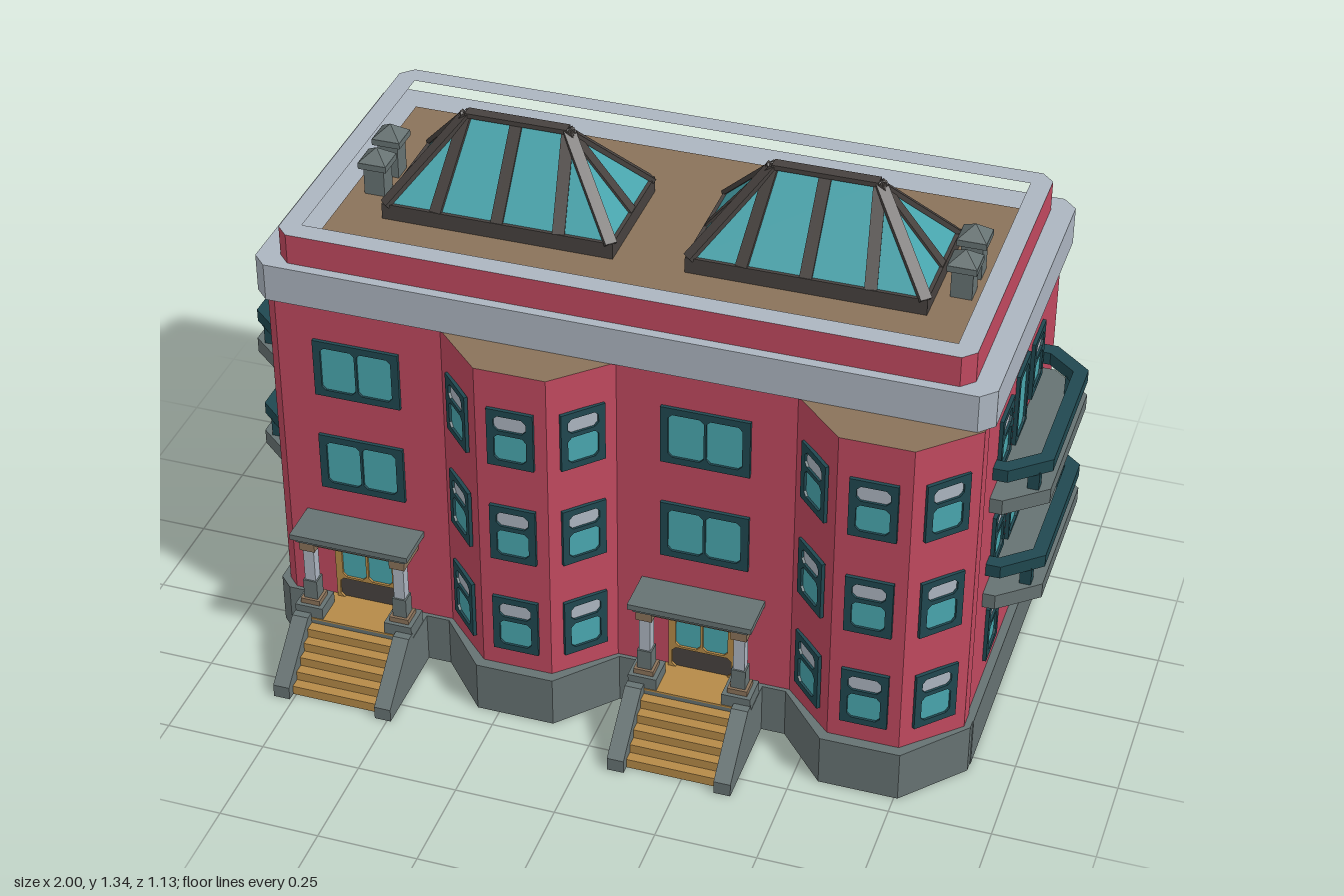
import * as THREE from 'three';

const mat = (name, color) => Object.assign(new THREE.MeshStandardMaterial({ color }), { name });

export function createModel() {
  const brick = mat('brick red', 0xc0495f), stone = mat('stone grey', 0x667272);
  const trim = mat('light trim', 0xacb5c0), glass = mat('teal glass', 0x49a6ae);
  const frame = mat('dark teal frame', 0x204850), roofing = mat('roof brown', 0x8a725a);
  const wood = mat('wood', 0xb58a48), metal = mat('dark metal', 0x47423f);
  glass.side = THREE.DoubleSide;

  const root = new THREE.Group();
  root.name = 'apartmentHouse';

  const group = (parent, name, x = 0, y = 0, z = 0, ry = 0) => {
    const g = new THREE.Group();
    g.name = name;
    g.position.set(x, y, z);
    g.rotation.y = ry;
    parent.add(g);
    return g;
  };
  const mesh = (parent, name, geo, m, x = 0, y = 0, z = 0) => {
    const o = new THREE.Mesh(geo, m);
    o.name = name;
    o.position.set(x, y, z);
    parent.add(o);
    return o;
  };
  // box spanning two corners
  const box = (parent, name, m, x0, x1, y0, y1, z0, z1) =>
    mesh(parent, name, new THREE.BoxGeometry(x1 - x0, y1 - y0, z1 - z0), m,
      (x0 + x1) / 2, (y0 + y1) / 2, (z0 + z1) / 2);
  const outline = (pts) => pts.map(([x, y]) => new THREE.Vector2(x, y));
  // upright prism over an [x, z] plan; material may be [caps, sides]
  const prism = (parent, name, m, pts, y0, y1, hole) => {
    const flip = (p) => outline(p.map(([x, z]) => [x, -z]));
    const s = new THREE.Shape(flip(pts));
    if (hole) s.holes.push(new THREE.Path(flip(hole)));
    const geo = new THREE.ExtrudeGeometry(s, { depth: y1 - y0, bevelEnabled: false });
    return mesh(parent, name, geo.rotateX(-Math.PI / 2), m, 0, y0, 0);
  };
  // rectangle with cut corners
  const cut = (x0, x1, y0, y1, c) => [[x0 + c, y0], [x1 - c, y0], [x1, y0 + c], [x1, y1 - c],
    [x1 - c, y1], [x0 + c, y1], [x0, y1 - c], [x0, y0 + c]];

  // main block, plinth, cornice, parapet and roof
  prism(root, 'plinth', stone, cut(-0.895, 0.895, -0.565, 0.31, 0.035), 0, 0.135);
  prism(root, 'walls', brick, cut(-0.874, 0.874, -0.54, 0.3, 0.03), 0.135, 1.0);
  prism(root, 'cornice', trim, cut(-0.896, 0.896, -0.565, 0.31, 0.035), 1.0, 1.097);
  prism(root, 'parapet', [trim, brick], cut(-0.84, 0.84, -0.537, 0.285, 0.03), 1.097, 1.175,
    [[-0.79, -0.484], [0.79, -0.484], [0.79, 0.233], [-0.79, 0.233]]);
  box(root, 'roofDeck', roofing, -0.79, 0.79, 1.09, 1.1, -0.484, 0.233);

  // windows: framed openings [x0, x1, y0, y1, material], origin at the centre on the wall
  const makeWindow = (parent, name, w, h, panes, x, y, z, ry = 0, frameMat = frame) => {
    const g = group(parent, name, x, y, z, ry);
    const s = new THREE.Shape(outline(cut(-w / 2, w / 2, -h / 2, h / 2, 0)));
    for (const [x0, x1, y0, y1, m] of panes) {
      s.holes.push(new THREE.Path(outline(cut(x0, x1, y0, y1, 0.01))));
      box(g, 'pane', m, x0, x1, y0, y1, -0.001, 0.003);
    }
    mesh(g, 'frame', new THREE.ExtrudeGeometry(s, { depth: 0.009, bevelEnabled: false }), frameMat);
  };
  const sash = (parent, x, y, z, ry) => makeWindow(parent, 'sashWindow', 0.115, 0.158,
    [[-0.04, 0.04, 0.022, 0.062, trim], [-0.04, 0.04, -0.062, 0.01, glass]], x, y, z, ry);
  const wide = (parent, x, y, z, ry) => makeWindow(parent, 'doubleWindow', 0.218, 0.156,
    [[-0.09, -0.003, -0.06, 0.06, glass], [0.003, 0.09, -0.06, 0.06, glass]], x, y, z, ry);
  const floors = [0.268, 0.542, 0.82];

  // front: each half has a porch with wide windows above and a three-sided bay
  const bayPlan = (w, f, z) => [[-w, 0.25], [w, 0.25], [w, 0.3], [f, z], [-f, z], [-w, 0.3]];
  for (const dx of [0, 0.869]) {
    const bay = group(root, 'bay', -0.208 + dx);
    prism(bay, 'bayPlinth', stone, bayPlan(0.232, 0.098, 0.45), 0, 0.135);
    prism(bay, 'bayWalls', [roofing, brick], bayPlan(0.2165, 0.088, 0.423), 0.135, 0.999);
    for (const y of floors) {
      sash(bay, 0, y, 0.423, 0);
      for (const s of [-1, 1]) sash(bay, s * 0.1525, y, 0.3615, s * Math.atan2(0.1285, 0.123));
    }

    const porch = group(root, 'porch', -0.645 + dx);
    for (const y of [0.553, 0.828]) wide(porch, 0.003, y, 0.3);
    box(porch, 'landing', stone, -0.155, 0.155, 0, 0.135, 0.25, 0.41);
    box(porch, 'landingFloor', wood, -0.112, 0.112, 0.135, 0.14, 0.3, 0.412);
    const steps = 5;
    for (let i = 0; i < steps; i++)
      box(porch, 'step', wood, -0.113, 0.113, 0, 0.135 * (i + 1) / (steps + 0.5),
        0.4, 0.545 - i * 0.027);
    // sloping stair walls, pedestals and columns
    const slope = new THREE.Shape(outline([[0.405, 0], [0.567, 0], [0.567, 0.035], [0.43, 0.152], [0.405, 0.152]]));
    for (const s of [-1, 1]) {
      const wall = new THREE.ExtrudeGeometry(slope, { depth: 0.042, bevelEnabled: false });
      mesh(porch, 'stairWall', wall.rotateY(-Math.PI / 2), stone, s * 0.134 + 0.021);
      const c = s * 0.118;
      box(porch, 'pedestal', stone, c - 0.036, c + 0.036, 0.135, 0.172, 0.335, 0.41);
      box(porch, 'columnFoot', roofing, c - 0.025, c + 0.025, 0.172, 0.186, 0.35, 0.4);
      box(porch, 'columnBase', stone, c - 0.018, c + 0.018, 0.186, 0.24, 0.357, 0.393);
      box(porch, 'column', trim, c - 0.014, c + 0.014, 0.24, 0.352, 0.361, 0.389);
      box(porch, 'bracket', roofing, c - 0.02, c + 0.02, 0.335, 0.366, 0.3, 0.396);
    }
    box(porch, 'beam', roofing, -0.1, 0.1, 0.35, 0.366, 0.36, 0.39);
    box(porch, 'porchRoofLower', stone, -0.143, 0.143, 0.364, 0.378, 0.29, 0.404);
    box(porch, 'porchRoof', stone, -0.154, 0.154, 0.376, 0.391, 0.29, 0.414);
    makeWindow(porch, 'entranceDoor', 0.168, 0.215, [[-0.066, -0.003, -0.04, 0.09, glass],
      [0.003, 0.066, -0.04, 0.09, glass], [-0.075, 0.075, -0.105, -0.046, metal]], 0, 0.245, 0.3, 0, wood);
  }

  // back windows
  const back = group(root, 'backWindows', 0, 0, -0.54, Math.PI);
  for (const s of [-1, 1]) for (const y of floors) {
    wide(back, s * 0.435, y, 0);
    sash(back, s * 0.68, y, 0);
    sash(back, s * 0.193, y, 0);
  }

  // both ends: windows, balcony doors and balconies
  const slab = [[-0.28, -0.01], [0.28, -0.01], [0.28, 0.03], [0.2, 0.126], [-0.2, 0.126], [-0.28, 0.03]];
  const rail = [[-0.268, 0], [-0.268, 0.035], [-0.19, 0.126], [0.19, 0.126], [0.268, 0.035], [0.268, 0],
    [0.232, 0], [0.232, 0.024], [0.174, 0.092], [-0.174, 0.092], [-0.232, 0.024], [-0.232, 0]];
  for (const s of [-1, 1]) {
    const end = group(root, s > 0 ? 'leftEnd' : 'rightEnd', s * 0.874, 0, -0.109, s * Math.PI / 2);
    for (const y of floors) for (const k of [-1, 1]) sash(end, k * 0.165, y, 0);
    for (const y of [0.44, 0.72]) {
      makeWindow(end, 'balconyDoor', 0.115, 0.195, [[-0.042, 0.042, -0.09, 0.08, glass]], 0, y + 0.097, 0);
      const b = group(end, 'balcony', 0, y);
      prism(b, 'balconySlab', stone, slab, -0.04, 0);
      prism(b, 'handrail', frame, rail, 0.045, 0.078);
      for (const k of [-1, 1])
        box(b, 'railPost', frame, k * 0.2 - 0.014, k * 0.2 + 0.014, 0, 0.05, 0.072, 0.1);
    }
  }

  // hipped skylights with glazing bars
  const V = (x, y, z) => new THREE.Vector3(x, y, z);
  const bar = (parent, a, b) => {
    const m = mesh(parent, 'glazingBar', new THREE.BoxGeometry(0.03, 0.012, a.distanceTo(b)), metal);
    m.position.copy(a).add(b).multiplyScalar(0.5);
    m.lookAt(b.clone());
  };
  for (const s of [-1, 1]) {
    // bars are aimed before the group is placed
    const sky = new THREE.Group();
    sky.name = 'skylight';
    const p = [V(-0.285, 0, 0.155), V(0.285, 0, 0.155), V(0.285, 0, -0.155), V(-0.285, 0, -0.155),
      V(-0.128, 0.195, 0), V(0.128, 0.195, 0)];
    const geo = new THREE.BufferGeometry().setFromPoints(
      [0, 1, 5, 0, 5, 4, 1, 2, 5, 2, 3, 4, 2, 4, 5, 3, 0, 4].map((i) => p[i]));
    geo.computeVertexNormals();
    mesh(sky, 'skylightGlass', geo, glass);
    box(sky, 'skylightCurb', metal, -0.291, 0.291, -0.045, 0.004, -0.161, 0.161);
    bar(sky, p[4], p[5]);
    for (const k of [-1, 1]) {
      const ridge = V(k * 0.128, 0.195, 0);
      for (const z of [-0.155, 0.155]) {
        bar(sky, V(k * 0.285, 0, z), ridge);
        bar(sky, V(k * 0.155, 0, z), ridge);
      }
      bar(sky, V(k * 0.285, 0, 0), ridge);
      bar(sky, V(0, 0, k * 0.155), V(0, 0.195, 0));
    }
    sky.position.set(s * 0.38, 1.137, -0.125);
    root.add(sky);

    // pair of chimneys beside each skylight
    for (const [z, top] of [[-0.174, 1.2], [-0.083, 1.185]]) {
      const c = group(root, 'chimney', s * 0.728, top, z);
      box(c, 'chimneyStack', stone, -0.026, 0.026, 1.097 - top, 0, -0.026, 0.026);
      box(c, 'chimneyRim', stone, -0.036, 0.036, -0.012, 0.004, -0.036, 0.036);
      const cap = new THREE.ConeGeometry(0.05, 0.03, 4).rotateY(Math.PI / 4).toNonIndexed();
      cap.computeVertexNormals();
      mesh(c, 'chimneyCap', cap, stone, 0, 0.019, 0);
    }
  }
  return root;
}
